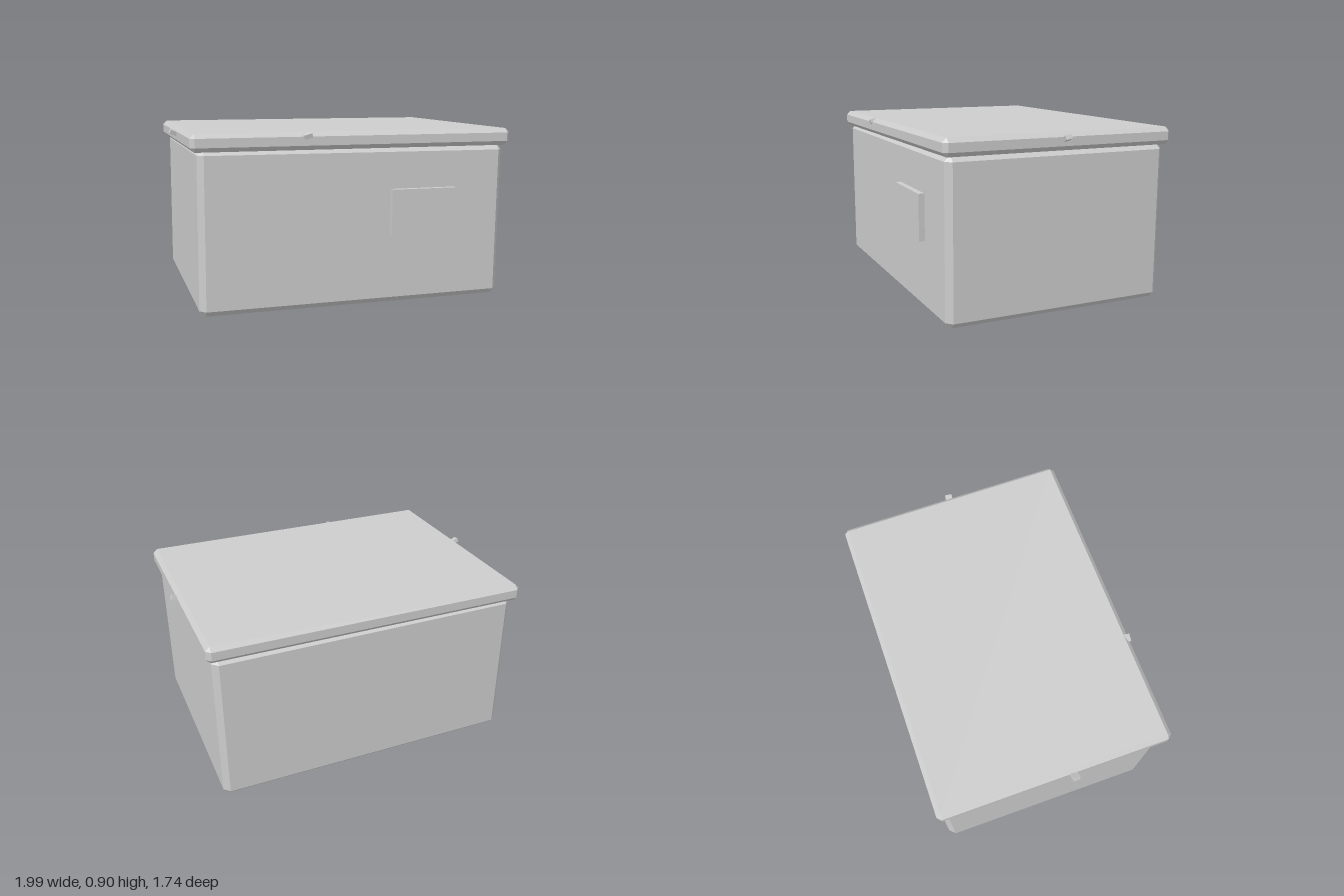
import * as THREE from 'three';
import { ConvexGeometry } from 'three/addons/geometries/ConvexGeometry.js';

// Box with every edge cut at 45 degrees: half sizes a and b, from y0 to y1, cut c
function chamferBox(a, b, y0, y1, c) {
  const h = (y1 - y0) / 2, mid = (y0 + y1) / 2, points = [];
  for (const sx of [-1, 1]) for (const sy of [-1, 1]) for (const sz of [-1, 1]) {
    const add = (dx, dy, dz) => points.push(new THREE.Vector3(
      sx * (a - dx), mid + sy * (h - dy), sz * (b - dz)));
    add(0, c, c);
    add(c, 0, c);
    add(c, c, 0);
  }
  return new ConvexGeometry(points);
}

export function createModel() {
  const grey = new THREE.MeshStandardMaterial({ color: 0xcccccc });
  grey.name = 'grey';

  const model = new THREE.Group();
  model.name = 'lidded box';

  const part = (parent, name, geometry, x = 0, y = 0, z = 0) => {
    const mesh = new THREE.Mesh(geometry, grey);
    mesh.name = name;
    mesh.position.set(x, y, z);
    parent.add(mesh);
    return mesh;
  };
  const turned = (name, tilt) => {
    const group = new THREE.Group();
    group.name = name;
    group.rotation.set(0, -0.377, tilt);
    model.add(group);
    return group;
  };

  // Container with the plate on its front
  const container = turned('container', -0.008);
  part(container, 'body', chamferBox(0.804, 0.59, 0.007, 0.82, 0.03));
  part(container, 'frontPlate', new THREE.BoxGeometry(0.35, 0.235, 0.04), 0.341, 0.485, 0.6);

  // Overhanging lid with small tabs around its rim
  const cover = turned('cover', -0.003);
  part(cover, 'lid', chamferBox(0.835, 0.612, 0.81, 0.898, 0.022));
  const tabs = [
    ['rightTab', 0.842, 0.87, -0.003, 0.4],
    ['leftTab', -0.85, 0.872, 0.088, -0.4],
    ['frontTab', -0.27, 0.88, 0.602, 0.3],
  ];
  for (const [name, x, y, z, roll] of tabs) {
    const tab = part(cover, name, new THREE.BoxGeometry(0.04, 0.022, 0.034), x, y, z);
    tab.rotation.set(0.2, 0, roll);
  }
  return model;
}
